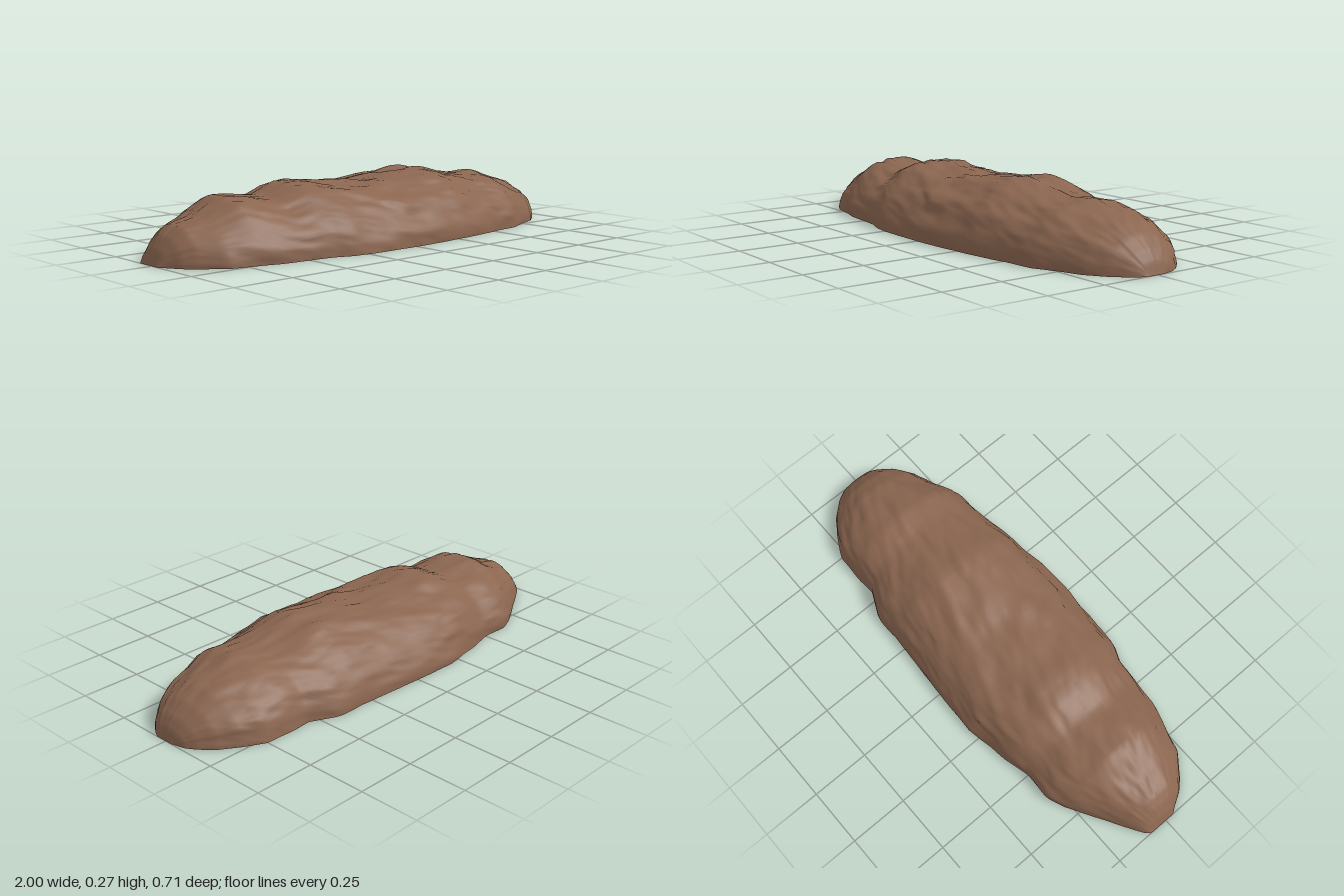
import * as THREE from 'three';

// Lengthwise profile: x, back half-width, front half-width, height
const PROFILE = [
  [-1, 0.08, 0.04, 0], [-0.98, 0.1, 0.07, 0.06], [-0.95, 0.12, 0.12, 0.11],
  [-0.91, 0.145, 0.16, 0.145], [-0.82, 0.2, 0.23, 0.17], [-0.7, 0.27, 0.26, 0.23],
  [-0.62, 0.305, 0.285, 0.225], [-0.5, 0.3, 0.3, 0.215], [-0.4, 0.325, 0.31, 0.255],
  [-0.32, 0.335, 0.345, 0.255], [-0.2, 0.358, 0.35, 0.247], [0, 0.35, 0.358, 0.245],
  [0.12, 0.345, 0.35, 0.257], [0.3, 0.33, 0.335, 0.272], [0.43, 0.33, 0.32, 0.24],
  [0.54, 0.28, 0.305, 0.225], [0.65, 0.285, 0.292, 0.23], [0.75, 0.28, 0.245, 0.2],
  [0.84, 0.235, 0.215, 0.17], [0.91, 0.185, 0.165, 0.135], [0.96, 0.13, 0.115, 0.09],
  [0.985, 0.09, 0.08, 0.05], [1, 0.03, 0.05, 0],
];

function profileAt(x) {
  let k = 0;
  while (k < PROFILE.length - 2 && PROFILE[k + 1][0] < x) k++;
  const p = PROFILE[k], q = PROFILE[k + 1];
  const t = (x - p[0]) / (q[0] - p[0]);
  return [1, 2, 3].map((c) => p[c] + (q[c] - p[c]) * t);
}

// Seeded smooth noise in the range -1 to 1
function hash(i, j) {
  const s = Math.sin(i * 127.1 + j * 311.7 + 17.3) * 43758.5453;
  return (s - Math.floor(s)) * 2 - 1;
}
function noise(u, v) {
  const i = Math.floor(u), j = Math.floor(v);
  const ease = (t) => t * t * (3 - 2 * t);
  const a = ease(u - i), b = ease(v - j);
  const low = hash(i, j) * (1 - a) + hash(i + 1, j) * a;
  const high = hash(i, j + 1) * (1 - a) + hash(i + 1, j + 1) * a;
  return low * (1 - b) + high * b;
}

const ROWS = 110, COLS = 64;

// Point on the rough upper surface
function surfacePoint(i, j) {
  const x = Math.sin((i / ROWS - 0.5) * Math.PI);
  const a = (j / COLS) * Math.PI;
  const [back, front, height] = profileAt(x);
  const c = Math.cos(a), s = j === COLS ? 0 : Math.sin(a);
  // Long lumps slant slightly across the mound
  const v = a * 4 + x * 1.5;
  const rough = 0.035 * noise(x * 6, v) + 0.022 * noise(x * 13 + 40, v * 2.2)
    + 0.012 * noise(x * 26 + 80, v * 4);
  const r = 1 + (rough - 0.012) * (0.35 + 0.65 * s);
  return [x, height * s * r, (c > 0 ? front : back) * c * r];
}

function createMound(material) {
  const positions = [], index = [];
  for (let i = 0; i <= ROWS; i++) {
    for (let j = 0; j <= COLS; j++) positions.push(...surfacePoint(i, j));
  }
  const w = COLS + 1;
  for (let i = 0; i < ROWS; i++) {
    for (let j = 0; j < COLS; j++) {
      const a = i * w + j, b = a + w;
      index.push(a, b, a + 1, b, b + 1, a + 1);
    }
  }
  const geometry = new THREE.BufferGeometry();
  geometry.setAttribute('position', new THREE.Float32BufferAttribute(positions, 3));
  geometry.setIndex(index);
  geometry.computeVertexNormals();
  const mesh = new THREE.Mesh(geometry, material);
  mesh.name = 'mound';
  return mesh;
}

// Flat underside joining the front and back base edges
function createUnderside(material) {
  const positions = [], index = [];
  for (let i = 0; i <= ROWS; i++) {
    positions.push(...surfacePoint(i, 0), ...surfacePoint(i, COLS));
  }
  for (let i = 0; i < ROWS; i++) {
    const f = i * 2;
    index.push(f, f + 1, f + 2, f + 1, f + 3, f + 2);
  }
  const geometry = new THREE.BufferGeometry();
  geometry.setAttribute('position', new THREE.Float32BufferAttribute(positions, 3));
  geometry.setIndex(index);
  geometry.computeVertexNormals();
  const mesh = new THREE.Mesh(geometry, material);
  mesh.name = 'underside';
  return mesh;
}

export function createModel() {
  const earth = new THREE.MeshStandardMaterial({ color: 0x8b6650 });
  earth.name = 'brown earth';
  const group = new THREE.Group();
  group.name = 'earthMound';
  group.add(createMound(earth), createUnderside(earth));
  return group;
}
